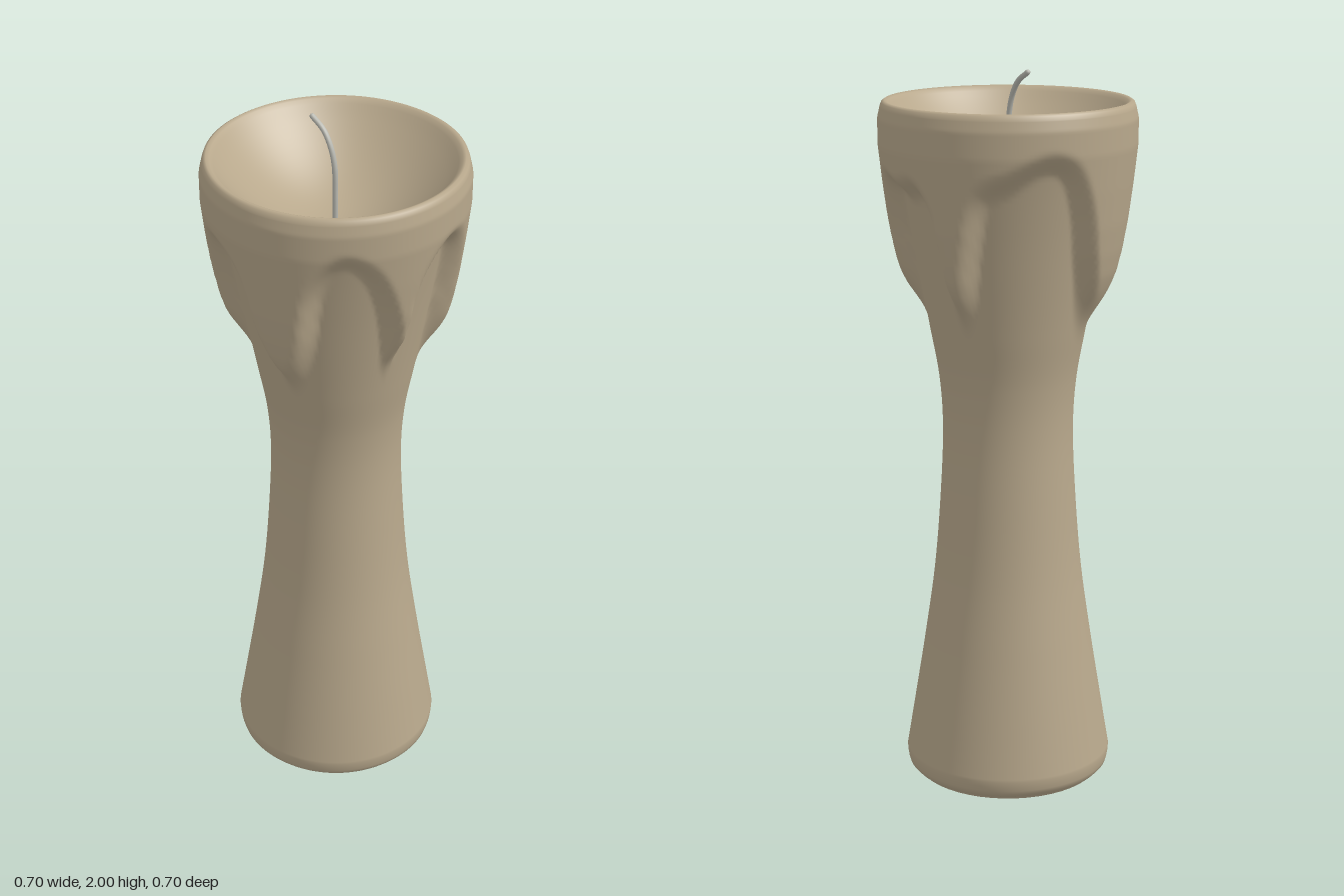
import * as THREE from 'three';
import { mergeVertices } from 'three/addons/utils/BufferGeometryUtils.js';

// Lower edge of the melted layer: [degrees around from the front, height]
const DRIP_EDGE = [
  [-16, 1.41], [-11, 1.55], [-8, 1.66], [0, 1.74], [10, 1.765], [19, 1.72], [25, 1.6], [29, 1.45],
  [37, 1.37], [48, 1.43], [54, 1.6], [61, 1.7], [78, 1.69], [90, 1.7], [97, 1.63], [101, 1.45],
  [107, 1.38], [113, 1.42], [118, 1.55], [124, 1.68], [138, 1.73], [157, 1.78], [168, 1.75],
  [177, 1.64], [184, 1.5], [194, 1.39], [208, 1.35], [221, 1.42], [227, 1.58], [234, 1.7],
  [246, 1.735], [260, 1.68], [267, 1.5], [280, 1.38], [293, 1.48], [300, 1.68], [312, 1.78],
  [325, 1.74], [335, 1.62], [344, 1.41],
];

// Smooth, evenly dense version of the drip edge
const EDGE_TABLE = new THREE.CatmullRomCurve3(
  DRIP_EDGE.map(([deg, y]) => new THREE.Vector3(deg / 57, y, 0)),
).getPoints(360).map((p) => [p.x * 57, p.y]);

// Outer radius of the melted layer: [height, radius]
const MELT_RADIUS = [
  [1.2, 0.198], [1.26, 0.211], [1.32, 0.234], [1.38, 0.264], [1.42, 0.283], [1.46, 0.298],
  [1.52, 0.312], [1.6, 0.326], [1.7, 0.339], [1.8, 0.35], [1.87, 0.35], [1.9, 0.343],
];

// Linear interpolation through a sorted table of pairs
function sample(table, t) {
  const last = table.length - 1;
  if (t <= table[0][0]) return table[0][1];
  if (t >= table[last][0]) return table[last][1];
  const i = table.findIndex((p) => p[0] >= t);
  const [t0, v0] = table[i - 1];
  const [t1, v1] = table[i];
  return v0 + ((v1 - v0) * (t - t0)) / (t1 - t0);
}

function edgeHeight(deg) {
  return sample(EDGE_TABLE, ((((deg + 16) % 360) + 360) % 360) - 16);
}

// How much melted wax covers a spot; drip tips fade out further than arches
function coverage(deg, y) {
  let sum = 0;
  for (let d = -3; d <= 3; d += 1.5) {
    const edge = edgeHeight(deg + d);
    const fade = 0.03 + 0.07 * (1 - THREE.MathUtils.smoothstep(edge, 1.36, 1.5));
    sum += THREE.MathUtils.smoothstep(y, edge - fade, edge + 0.045);
  }
  return sum / 5;
}

function createWax(material) {
  const vec = (p) => new THREE.Vector2(p[0], p[1]);
  // Hourglass outer wall from foot to rim
  const wall = new THREE.SplineCurve([
    [0.29, 0.06], [0.267, 0.2], [0.235, 0.4], [0.207, 0.6], [0.19, 0.8], [0.181, 1.0],
    [0.189, 1.15], [0.215, 1.3], [0.243, 1.45], [0.272, 1.6], [0.304, 1.75], [0.332, 1.85], [0.343, 1.9],
  ].map(vec)).getPoints(130);
  const foot = [[0, 0.009], [0.27, 0.009], [0.274, 0.011], [0.284, 0.022], [0.287, 0.033], [0.289, 0.046]].map(vec);
  // Rounded lip, then the shallow hollow inside
  const lip = [[0.339, 1.911], [0.331, 1.916], [0.322, 1.912], [0.312, 1.902]].map(vec);
  const bowl = [];
  for (let i = 0; i <= 14; i++) {
    const k = 1 - i / 14;
    bowl.push(new THREE.Vector2(0.302 * k, 1.889 - 0.165 * (1 - k * k)));
  }
  const profile = [...foot, ...wall, ...lip, ...bowl];
  const segments = 180;
  let geometry = new THREE.LatheGeometry(profile, segments);

  // Push the outer wall out wherever melted wax covers it
  const pos = geometry.attributes.position;
  const first = foot.length;
  const end = first + wall.length;
  for (let s = 0; s <= segments; s++) {
    const angle = ((s % segments) / segments) * Math.PI * 2;
    for (let j = first; j < end; j++) {
      const { x: r, y } = profile[j];
      if (y < 1.2) continue;
      const melt = Math.max(r, sample(MELT_RADIUS, y));
      const radius = r + (melt - r) * coverage(THREE.MathUtils.radToDeg(angle), y);
      pos.setXYZ(s * profile.length + j, radius * Math.sin(angle), y, radius * Math.cos(angle));
    }
  }

  // Weld the seam so the shading runs smoothly around
  geometry.deleteAttribute('uv');
  geometry.deleteAttribute('normal');
  geometry = mergeVertices(geometry, 1e-5);
  geometry.computeVertexNormals();
  const mesh = new THREE.Mesh(geometry, material);
  mesh.name = 'candleWax';
  return mesh;
}

function createWick(material) {
  const wick = new THREE.Group();
  wick.name = 'wick';
  const path = new THREE.CatmullRomCurve3([
    [-0.003, 1.71, 0], [-0.003, 1.8, 0], [-0.002, 1.88, -0.003],
    [0.0, 1.93, -0.018], [0.003, 1.968, -0.044], [0.005, 1.993, -0.082],
  ].map((p) => new THREE.Vector3(...p)));
  const stem = new THREE.Mesh(new THREE.TubeGeometry(path, 32, 0.0075, 12), material);
  stem.name = 'wickStem';
  const tip = new THREE.Mesh(new THREE.SphereGeometry(0.0075, 12, 8), material);
  tip.name = 'wickTip';
  tip.position.copy(path.getPoint(1));
  wick.add(stem, tip);
  return wick;
}

export function createModel() {
  const model = new THREE.Group();
  model.name = 'candle';
  const wax = new THREE.MeshStandardMaterial({ color: 0xb8a88c });
  model.add(createWax(wax));
  model.add(createWick(new THREE.MeshStandardMaterial({ color: 0xb8b8b0 })));

  // Base disc the candle stands on
  const base = new THREE.Mesh(new THREE.CylinderGeometry(0.27, 0.262, 0.012, 48), wax);
  base.name = 'baseDisc';
  base.position.y = 0.006;
  model.add(base);
  return model;
}
